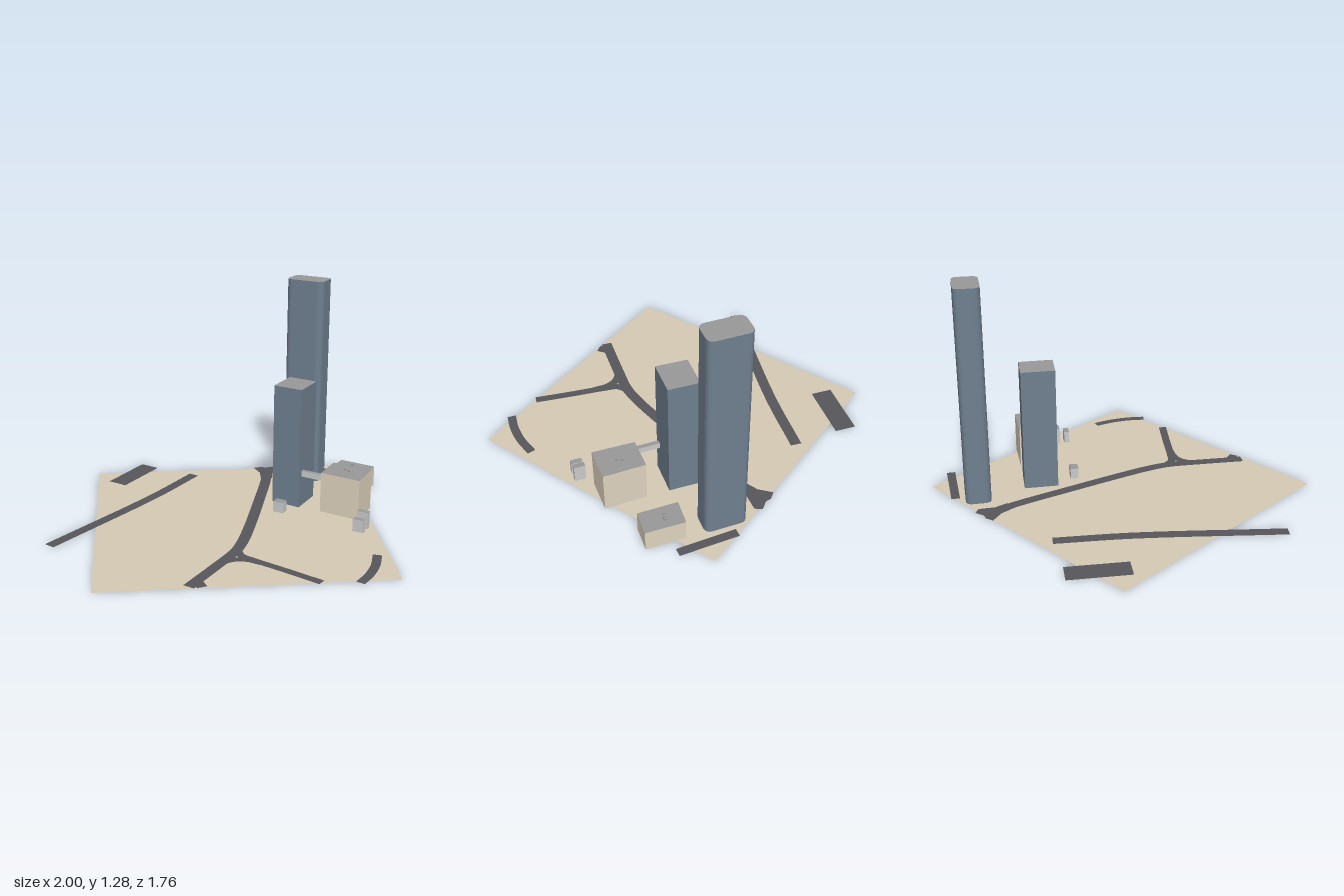
import * as THREE from 'three';

const mat = (color, side = THREE.FrontSide) =>
  new THREE.MeshStandardMaterial({ color, side, flatShading: true });

const groundMat = mat(0xd6cbb5, THREE.DoubleSide);
const roadMat = mat(0x57575b, THREE.DoubleSide);
const roofMat = mat(0x999999);
const glassMat = mat(0x708090);
const stoneMat = mat(0xe0d4bf);
const greyMat = mat(0xcccccc);
const ROAD_Y = 0.003;

// Upright prism from a plan outline of [x, z] points
function prism(name, outline, height, wallMat, base = 0) {
  const shape = new THREE.Shape(outline.map(([x, z]) => new THREE.Vector2(x, -z)));
  const geo = new THREE.ExtrudeGeometry(shape, { depth: height, bevelEnabled: false });
  geo.rotateX(-Math.PI / 2);
  const mesh = new THREE.Mesh(geo, [roofMat, wallMat]);
  mesh.position.y = base;
  mesh.name = name;
  return mesh;
}

// Plan outline of a turned rectangle, with optional rounded corners
function turnedRect(cx, cz, w, d, angle, r = 0, steps = 4) {
  const c = Math.cos(angle), s = Math.sin(angle), pts = [];
  const signs = [[1, 1], [-1, 1], [-1, -1], [1, -1]];
  signs.forEach(([sx, sz], q) => {
    for (let i = 0; i <= (r ? steps : 0); i++) {
      const a = (q + i / steps) * Math.PI / 2;
      const u = sx * (w / 2 - r) + r * Math.cos(a);
      const v = sz * (d / 2 - r) + r * Math.sin(a);
      pts.push([cx + u * c - v * s, cz + u * s + v * c]);
    }
  });
  return pts;
}

// Flat road ribbon following a smooth path of [x, z] points
function road(name, path, width) {
  const curve = new THREE.CatmullRomCurve3(path.map(([x, z]) => new THREE.Vector3(x, 0, z)), false, 'centripetal');
  const n = path.length === 2 ? 1 : 24;
  const pos = [], index = [];
  for (let i = 0; i <= n; i++) {
    const p = curve.getPointAt(i / n), t = curve.getTangentAt(i / n);
    const ox = -t.z * width / 2, oz = t.x * width / 2;
    pos.push(p.x + ox, 0, p.z + oz, p.x - ox, 0, p.z - oz);
    if (i < n) {
      const k = i * 2;
      index.push(k, k + 2, k + 1, k + 1, k + 2, k + 3);
    }
  }
  const geo = new THREE.BufferGeometry();
  geo.setAttribute('position', new THREE.Float32BufferAttribute(pos, 3));
  geo.setIndex(index);
  geo.computeVertexNormals();
  const mesh = new THREE.Mesh(geo, roadMat);
  mesh.position.y = ROAD_Y;
  mesh.name = name;
  return mesh;
}

// Flat paved patch from an [x, z] outline
function patch(name, outline) {
  const geo = new THREE.ShapeGeometry(new THREE.Shape(outline.map(([x, z]) => new THREE.Vector2(x, -z))));
  geo.rotateX(-Math.PI / 2);
  const mesh = new THREE.Mesh(geo, roadMat);
  mesh.position.y = ROAD_Y;
  mesh.name = name;
  return mesh;
}

export function createModel() {
  const model = new THREE.Group();
  model.name = 'cityBlock';
  const turn = 0.61;

  // Ground
  const ground = new THREE.Mesh(new THREE.PlaneGeometry(1.59, 1.59).rotateX(-Math.PI / 2), groundMat);
  ground.position.set(0.065, 0, 0.045);
  ground.name = 'ground';
  model.add(ground);

  // Roads
  const roads = new THREE.Group();
  roads.name = 'roads';
  roads.add(
    road('wideRoad', [[-0.4, -0.848], [-0.612, -0.57]], 0.125),
    road('longRoad', [[-0.12, -0.672], [-0.39, -0.337], [-0.976, 0.292]], 0.065),
    road('mainRoad', [[0.35, -0.755], [0.347, -0.62], [0.243, -0.2], [0.135, 0.19],
      [0.09, 0.33], [0.04, 0.445], [-0.06, 0.585], [-0.24, 0.825]], 0.065),
    road('branchRoad', [[0.05, 0.43], [0.06, 0.5], [0.12, 0.56], [0.26, 0.68], [0.44, 0.838]], 0.048),
    road('crossRoad', [[-0.07, 0.6], [-0.02, 0.56], [0.04, 0.545], [0.1, 0.56], [0.16, 0.6]], 0.048),
    road('curvedRoad', [[0.795, 0.56], [0.755, 0.68], [0.7, 0.78], [0.635, 0.86]], 0.05),
    road('shortRoad', [[0.634, -0.745], [0.924, -0.56]], 0.05),
    road('roadStub', [[-0.2, 0.74], [-0.172, 0.835]], 0.055),
    patch('roadFlare', [[0.28, -0.755], [0.33, -0.768], [0.36, -0.755], [0.42, -0.77], [0.442, -0.73],
      [0.39, -0.65], [0.378, -0.57], [0.305, -0.57], [0.31, -0.67]])
  );
  model.add(roads);

  // Towers
  model.add(
    prism('tallTower', turnedRect(0.592, -0.615, 0.24, 0.148, turn, 0.035), 1.285, glassMat),
    prism('shortTower', [[0.447, -0.377], [0.59, -0.27], [0.473, -0.105], [0.33, -0.215]], 0.735, glassMat)
  );

  // Stone blocks and the bridge between block and tower
  model.add(
    prism('largeBlock', [[0.695, -0.195], [0.897, -0.06], [0.787, 0.105], [0.59, -0.04]], 0.245, stoneMat),
    prism('lowBlock', [[0.818, -0.54], [1, -0.408], [0.915, -0.293], [0.727, -0.425]], 0.125, stoneMat),
    prism('skyBridge', turnedRect(0.55, -0.1, 0.145, 0.025, turn), 0.035, greyMat, 0.19)
  );

  // Small huts: x, z, width, depth, height
  [[0.353, -0.065, 0.065, 0.048, 0.065], [0.795, 0.2, 0.065, 0.032, 0.1], [0.76, 0.25, 0.065, 0.032, 0.075]]
    .forEach(([x, z, w, d, h]) => model.add(prism('hut', turnedRect(x, z, w, d, turn), h, greyMat)));

  // Roof units: x, z, roof height
  [[0.74, -0.07, 0.245], [0.755, -0.045, 0.245], [0.838, -0.41, 0.125], [0.855, -0.425, 0.125], [0.865, -0.44, 0.125]]
    .forEach(([x, z, y]) => model.add(prism('roofUnit', turnedRect(x, z, 0.014, 0.009, turn), 0.009, roofMat, y)));

  return model;
}
